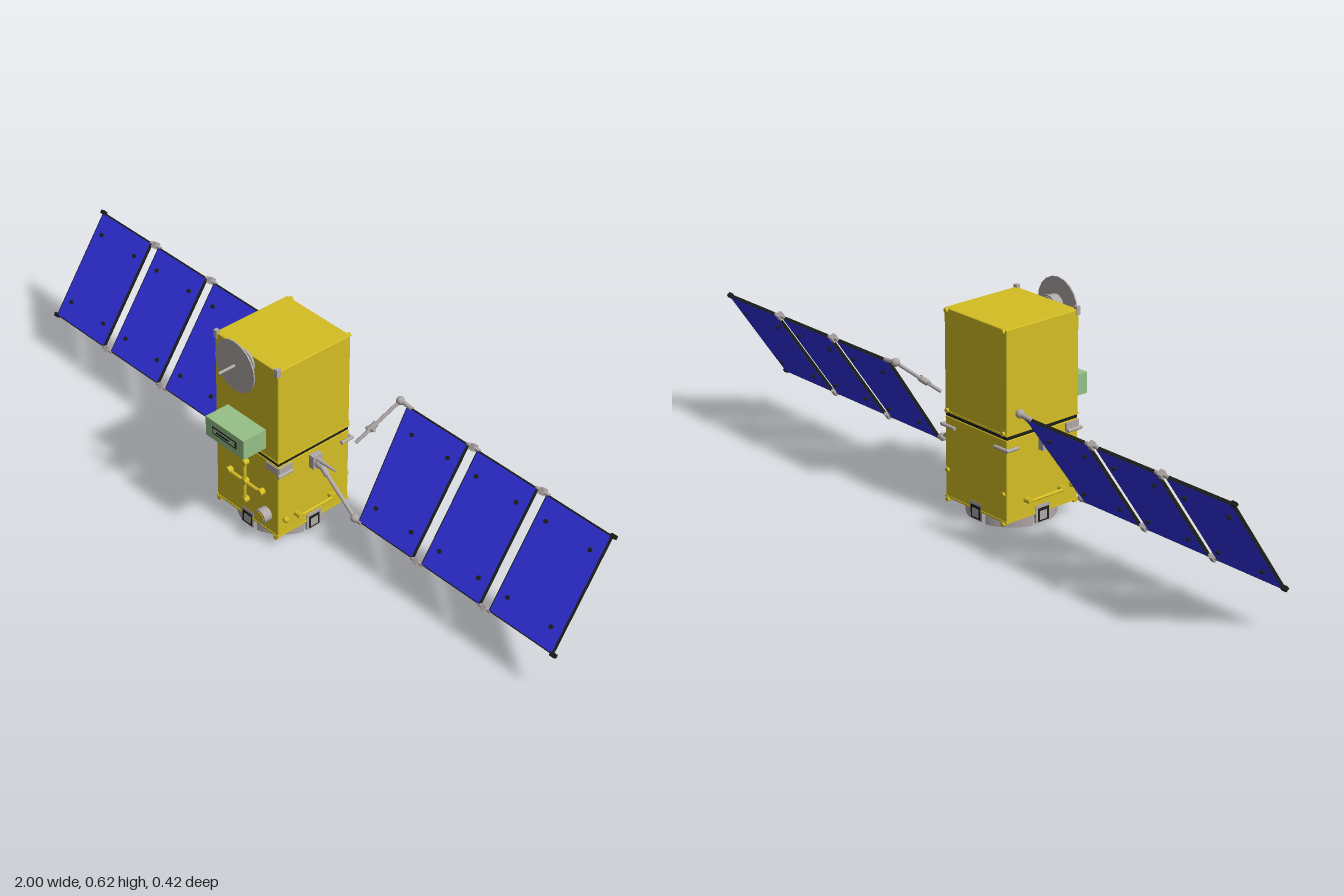
import * as THREE from 'three';
import { RoundedBoxGeometry } from 'three/addons/geometries/RoundedBoxGeometry.js';

const material = (name, color) => {
  const m = new THREE.MeshStandardMaterial({ color });
  m.name = name;
  return m;
};

export function createModel() {
  const model = new THREE.Group();
  model.name = 'satellite';
  const gold = material('gold foil', 0xd4be24);
  const blue = material('solar blue', 0x3232e6);
  const grey = material('metal grey', 0xb0a9a8);
  const green = material('pale green', 0x97c088);
  const black = material('black', 0x1c1f1c);
  const V = (a) => new THREE.Vector3(...a);

  const add = (name, geo, mat, pos = [0, 0, 0], parent = model) => {
    const mesh = new THREE.Mesh(geo, mat);
    mesh.name = name;
    mesh.position.set(...pos);
    parent.add(mesh);
    return mesh;
  };
  const box = (name, size, pos, mat, parent) => add(name, new THREE.BoxGeometry(...size), mat, pos, parent);
  const ball = (name, r, pos, mat, parent) => add(name, new THREE.SphereGeometry(r, 14, 10), mat, pos, parent);
  // Cylinder between two points
  const rod = (name, a, b, r, mat, parent, r2 = r) => {
    const p = V(a), q = V(b), d = q.clone().sub(p);
    const mesh = add(name, new THREE.CylinderGeometry(r2, r, d.length(), 20), mat, p.clone().add(q).multiplyScalar(0.5).toArray(), parent);
    mesh.quaternion.setFromUnitVectors(new THREE.Vector3(0, 1, 0), d.normalize());
    return mesh;
  };

  // Two-storey body with a dark joint
  const cz = -0.0075;
  add('upperBody', new RoundedBoxGeometry(0.246, 0.292, 0.251, 2, 0.003), gold, [0, 0.425, cz]);
  add('lowerBody', new RoundedBoxGeometry(0.246, 0.236, 0.251, 2, 0.003), gold, [0, 0.15, cz]);
  box('bodyJoint', [0.243, 0.016, 0.247], [0, 0.274, cz], black);
  box('lowerRim', [0.25, 0.005, 0.255], [0, 0.036, cz], gold);
  box('upperRim', [0.249, 0.005, 0.254], [0, 0.281, cz], gold);

  // Corner knobs
  for (const s of [-1, 1]) {
    box('topCornerFitting', [0.012, 0.024, 0.012], [s * 0.118, 0.567, 0.116], grey);
    for (const y of [0.565, 0.285, 0.115, 0.03])
      rod('rearCornerKnob', [s * 0.112, y, -0.128], [s * 0.112, y, -0.14], 0.006, gold);
    ball('sideKnob', 0.009, [s * 0.128, 0.085, 0.095], gold);
    box('frontCornerFoot', [0.012, 0.012, 0.012], [s * 0.114, 0.03, 0.116], gold);
  }

  // Base ring in four arcs
  const half = 0.25;
  for (let i = 0; i < 4; i++) {
    const a = i * Math.PI / 2 + half, b = (i + 1) * Math.PI / 2 - half;
    const s = new THREE.Shape();
    s.absarc(0, 0, 0.123, a, b, false);
    s.absarc(0, 0, 0.097, b, a, true);
    const arc = add('baseRingArc', new THREE.ExtrudeGeometry(s, { depth: 0.034, bevelEnabled: false, curveSegments: 20 }), grey, [0, 0.034, cz]);
    arc.rotation.x = Math.PI / 2;
    // Thruster pod in the gap between arcs
    const pod = new THREE.Group();
    pod.name = 'thrusterPod';
    pod.position.z = cz;
    pod.rotation.y = i * Math.PI / 2;
    model.add(pod);
    box('podFrame', [0.05, 0.05, 0.006], [0, 0.031, 0.1235], grey, pod);
    box('podOpening', [0.038, 0.038, 0.002], [0, 0.028, 0.1268], black, pod);
    box('podBlock', [0.026, 0.026, 0.024], [0, 0.026, 0.116], grey, pod);
    rod('podNozzle', [0, 0.018, 0.115], [0, 0.004, 0.115], 0.006, grey, pod, 0.01);
  }
  rod('baseHub', [0, 0.012, cz], [0, 0.034, cz], 0.06, gold, model, 0.09);
  rod('mainNozzle', [0, 0.006, cz], [0, 0.014, cz], 0.026, grey);
  rod('nozzleThroat', [0, 0.004, cz], [0, 0.008, cz], 0.016, black);

  // Dish antenna on the upper front
  rod('dishDrum', [0, 0.545, 0.115], [0, 0.545, 0.15], 0.03, grey);
  rod('dishCollar', [0, 0.545, 0.118], [0, 0.545, 0.124], 0.034, grey);
  rod('dish', [0, 0.545, 0.154], [0, 0.545, 0.158], 0.076, grey);
  rod('dishFeed', [0, 0.547, 0.156], [0, 0.547, 0.212], 0.004, grey);
  for (const x of [-0.01, 0, 0.01]) box('drumSlot', [0.004, 0.012, 0.02], [x, 0.516, 0.135], black);

  // Instrument box with a slotted face
  box('instrumentBox', [0.15, 0.06, 0.077], [0, 0.334, 0.1565], green);
  box('instrumentSlot', [0.094, 0.022, 0.002], [0, 0.335, 0.1955], black);
  box('instrumentBar', [0.086, 0.014, 0.002], [-0.001, 0.335, 0.1962], green);
  box('instrumentLens', [0.05, 0.005, 0.002], [-0.006, 0.335, 0.197], black);

  // Cross-shaped handrail on the front
  rod('crossUpright', [0, 0.09, 0.128], [0, 0.225, 0.128], 0.0055, gold);
  rod('crossBar', [-0.068, 0.157, 0.128], [0.068, 0.157, 0.128], 0.0055, gold);
  for (const [x, y] of [[0, 0.095], [0, 0.22], [-0.064, 0.157], [0.064, 0.157], [0, 0.157]])
    rod('crossFoot', [x, y, 0.115], [x, y, 0.134], 0.0095, gold);
  rod('portBarrel', [0.078, 0.09, 0.115], [0.078, 0.09, 0.144], 0.021, grey);
  rod('portFace', [0.078, 0.09, 0.143], [0.078, 0.09, 0.1455], 0.016, gold);

  // Mirrored fittings and solar wings
  for (const s of [-1, 1]) {
    const side = new THREE.Group();
    side.name = s > 0 ? 'leftWing' : 'rightWing';
    model.add(side);
    const P = (x, y, z) => [s * x, y, z];
    const S = (name, a, b, r, mat, r2) => rod(name, P(...a), P(...b), r, mat, side, r2);

    // Side handrail
    S('sideRail', [0.14, 0.085, 0.06], [0.14, 0.085, -0.07], 0.0045, gold);
    for (const z of [0.055, -0.066]) S('railFoot', [0.12, 0.085, z], [0.144, 0.085, z], 0.008, gold);

    // Corner brackets below the joint
    box('frontBracket', [0.008, 0.022, 0.046], P(0.124, 0.253, 0.095), grey, side);
    box('frontBracketFace', [0.05, 0.022, 0.006], P(0.1, 0.253, 0.118), grey, side);
    S('frontLatch', [0.13, 0.242, 0.125], [0.13, 0.242, 0.075], 0.005, grey);
    S('rearLatch', [0.13, 0.242, -0.1], [0.13, 0.242, -0.141], 0.005, grey);
    S('rearLatchFace', [0.13, 0.242, -0.137], [0.08, 0.242, -0.137], 0.005, grey);

    // Lower support arm
    box('armMount', [0.02, 0.04, 0.032], P(0.131, 0.235, -0.006), grey, side);
    ball('armShoulder', 0.014, P(0.148, 0.232, -0.006), grey, side);
    S('lowerArm', [0.145, 0.236, -0.006], [0.28, 0.125, -0.011], 0.0055, grey);
    S('lowerArmSleeve', [0.15, 0.232, -0.006], [0.178, 0.209, -0.007], 0.0085, grey);
    S('armStub', [0.14, 0.243, -0.005], [0.212, 0.243, -0.005], 0.007, grey, 0.0025);
    ball('armElbow', 0.012, P(0.28, 0.125, -0.011), grey, side);
    S('lowerHinge', [0.27, 0.121, -0.012], [0.306, 0.121, -0.012], 0.006, grey);

    // Upper free strut
    S('upperHinge', [0.244, 0.398, -0.199], [0.292, 0.394, -0.198], 0.006, grey);
    ball('strutJoint', 0.012, P(0.248, 0.398, -0.198), grey, side);
    S('upperStrut', [0.248, 0.398, -0.198], [0.207, 0.297, -0.078], 0.005, grey);
    S('strutSleeve', [0.226, 0.344, -0.134], [0.219, 0.327, -0.113], 0.009, grey);
    S('strutCross', [0.208, 0.329, -0.116], [0.238, 0.335, -0.116], 0.005, grey);

    // Tilted solar array
    const array = new THREE.Group();
    array.name = 'solarArray';
    array.position.set(0, 0.2575, -0.106);
    array.rotation.x = -0.6;
    side.add(array);
    const h = 0.166;
    const plate = (name, x0b, x0t, x1, inset, depth, z, mat) => {
      const y = h - inset;
      const shape = new THREE.Shape([[x0b + inset, -y], [x1 - inset, -y], [x1 - inset, y], [x0t + inset, y]].map(([px, py]) => new THREE.Vector2(s * px, py)));
      add(name, new THREE.ExtrudeGeometry(shape, { depth, bevelEnabled: false }), mat, [0, 0, z], array);
    };
    for (const [b, t, e] of [[0.296, 0.275, 0.497], [0.53, 0.53, 0.74], [0.772, 0.772, 0.99]]) {
      plate('panelFrame', b, t, e, 0, 0.009, -0.0045, black);
      plate('panelFront', b, t, e, 0.003, 0.001, 0.0042, blue);
      plate('panelBack', b, t, e, 0.003, 0.001, -0.0052, blue);
      for (const x of [Math.max(b, t) + 0.035, e - 0.035]) for (const y of [-0.108, 0.108])
        rod('panelBolt', [s * x, y, -0.012], [s * x, y, 0.012], 0.0055, black, array);
    }
    // Hinges between panels and end clips
    for (const x of [0.5135, 0.756]) for (const y of [-h, h]) {
      rod('panelHinge', [s * (x - 0.022), y, 0], [s * (x + 0.022), y, 0], 0.005, grey, array);
      box('hingeKnuckle', [0.014, 0.018, 0.018], [s * x, y, 0], grey, array);
    }
    for (const y of [-h, h]) box('endClip', [0.016, 0.01, 0.012], [s * 0.992, y, 0], black, array);
  }
  return model;
}
